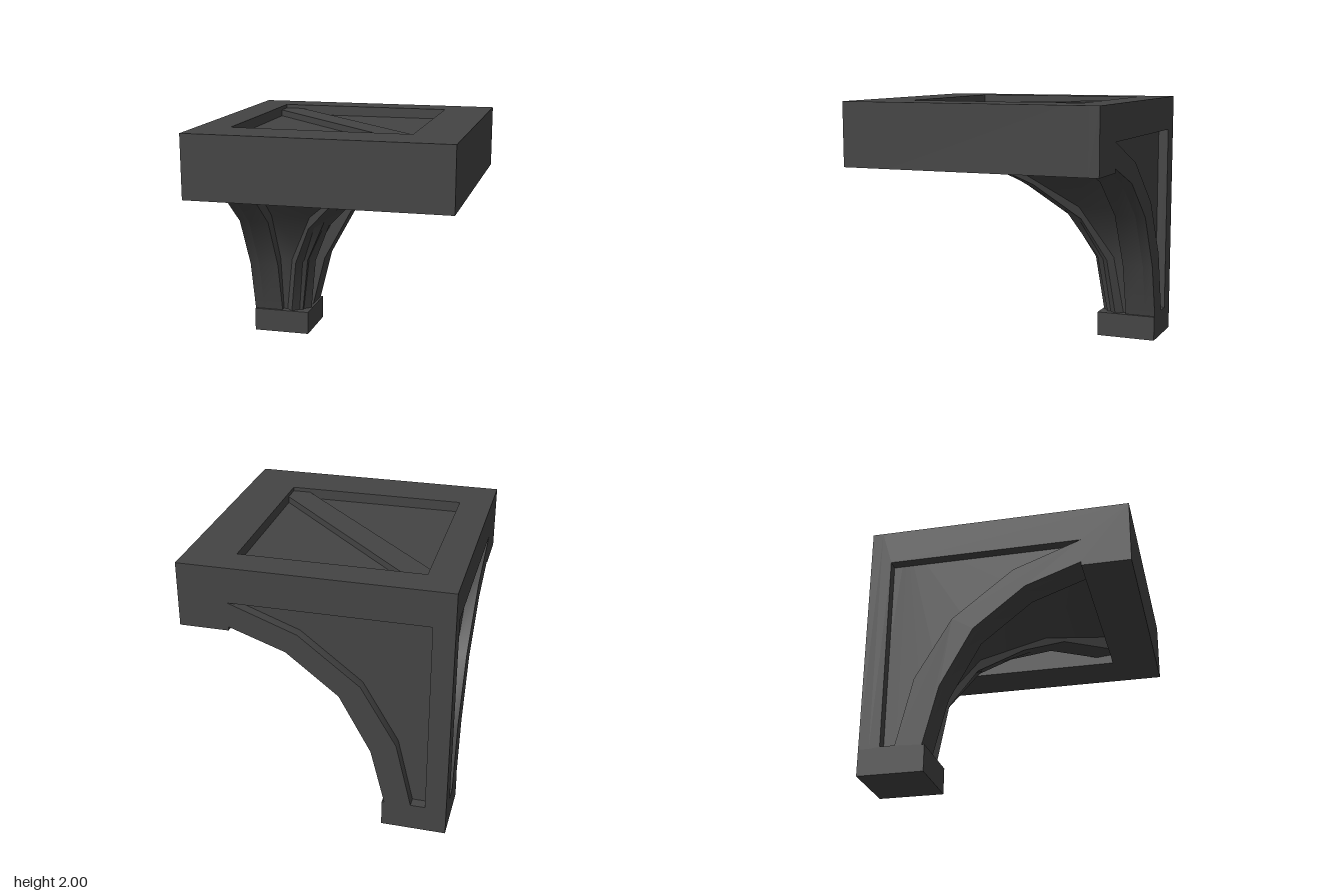
import * as THREE from 'three';
import { toCreasedNormals } from 'three/addons/utils/BufferGeometryUtils.js';

const IN = -0.75, OUT = 0.63;   // inner edges of the square frame
const RECESS = 0.08;            // depth of the sunken panels

// Arch curves as [distance along the wall, height]
const ARCH = [[-0.53, 0.2], [-0.42, 0.64], [-0.18, 1.08], [0.21, 1.39], [OUT, 1.54]];
const VAULT = [[-0.575, 0.2], [-0.505, 0.68], [-0.275, 1.12], [0.16, 1.49], [OUT, 1.69]];
const PANEL = [[-0.84, 0.21], [-0.73, 0.21], [-0.61, 0.72], [-0.34, 1.18], [0.12, 1.54], [OUT, 1.73], [-0.84, 1.73]];
const RIB = [[-0.59, 0.2], [-0.53, 0.66], [-0.36, 1.02], [-0.06, 1.32], [0.22, 1.51], [OUT, 1.59]];

export function createModel() {
  const model = new THREE.Group();
  const material = new THREE.MeshStandardMaterial({ color: 0x444444 });
  const vaultMaterial = material.clone();
  vaultMaterial.side = THREE.DoubleSide;

  const add = (name, geometry, mat = material) => {
    const mesh = new THREE.Mesh(geometry, mat);
    mesh.name = name;
    model.add(mesh);
    return mesh;
  };
  const box = (name, x0, x1, y0, y1, z0, z1) =>
    add(name, new THREE.BoxGeometry(x1 - x0, y1 - y0, z1 - z0)
      .translate((x0 + x1) / 2, (y0 + y1) / 2, (z0 + z1) / 2));
  const shapeOf = (points) => new THREE.Shape(points.map(([x, y]) => new THREE.Vector2(x, y)));
  const extrude = (shape, z0, z1) => toCreasedNormals(
    new THREE.ExtrudeGeometry(shape, { depth: z1 - z0, bevelEnabled: false }).translate(0, 0, z0), 0.45);

  // Wall outline: post, arch and the beam above it
  const wallShape = (start) => shapeOf([
    [start, 0.2], ...ARCH, [OUT, 1.51], [1, 1.51], [1, 2], [start, 2]]);
  const facingShape = (start) => {
    const shape = wallShape(start);
    shape.holes.push(new THREE.Path(PANEL.map(([x, y]) => new THREE.Vector2(x, y))));
    return shape;
  };

  // Two arched walls, each a solid core with a pierced facing
  add('backWallCore', extrude(wallShape(-1 + RECESS), -1 + RECESS, IN));
  add('backWallFacing', extrude(facingShape(-1), -1, -1 + RECESS));
  add('sideWallCore', extrude(wallShape(IN), -IN, 1 - RECESS)).rotation.y = -Math.PI / 2;
  add('sideWallFacing', extrude(facingShape(-1 + RECESS), 1 - RECESS, 1)).rotation.y = -Math.PI / 2;

  // Foot of the corner post and the two free beams
  box('base', -1, -0.51, 0, 0.2, -1, -0.51);
  box('frontBeam', IN, 1, 1.51, 2, OUT, 1);
  box('sideBeam', OUT, 1, 1.51, 2, IN, OUT);

  // Sunken panel on top
  box('topPanel', IN, OUT, 1.86, 1.92, IN, OUT);

  // Groin vault: two curved webs meeting along the diagonal
  for (const mirrored of [false, true]) {
    const positions = [], index = [];
    VAULT.forEach(([s, y], i) => {
      positions.push(...(mirrored ? [s, y, IN] : [IN, y, s]), s, y, s);
      if (i === 0) return;
      const a = 2 * i - 2, b = a + 1, c = a + 2, d = a + 3;
      index.push(...(mirrored ? [a, c, b, b, c, d] : [a, b, c, b, d, c]));
    });
    const web = new THREE.BufferGeometry();
    web.setAttribute('position', new THREE.Float32BufferAttribute(positions, 3));
    // corner order is chosen so the underside is the front
    web.setIndex(index);
    web.computeVertexNormals();
    add(mirrored ? 'backVaultWeb' : 'sideVaultWeb', web, vaultMaterial);
  }

  // Diagonal rib, rising through the top panel as a flat bar
  const ribOutline = [[-0.82, 0.2], ...RIB, [0.7, 1.6], [0.7, 1.97], [-0.82, 1.97]]
    .map(([t, y]) => [t * Math.SQRT2, y]);
  add('diagonalRib', extrude(shapeOf(ribOutline), -0.1, 0.1)).rotation.y = -Math.PI / 4;

  return model;
}
